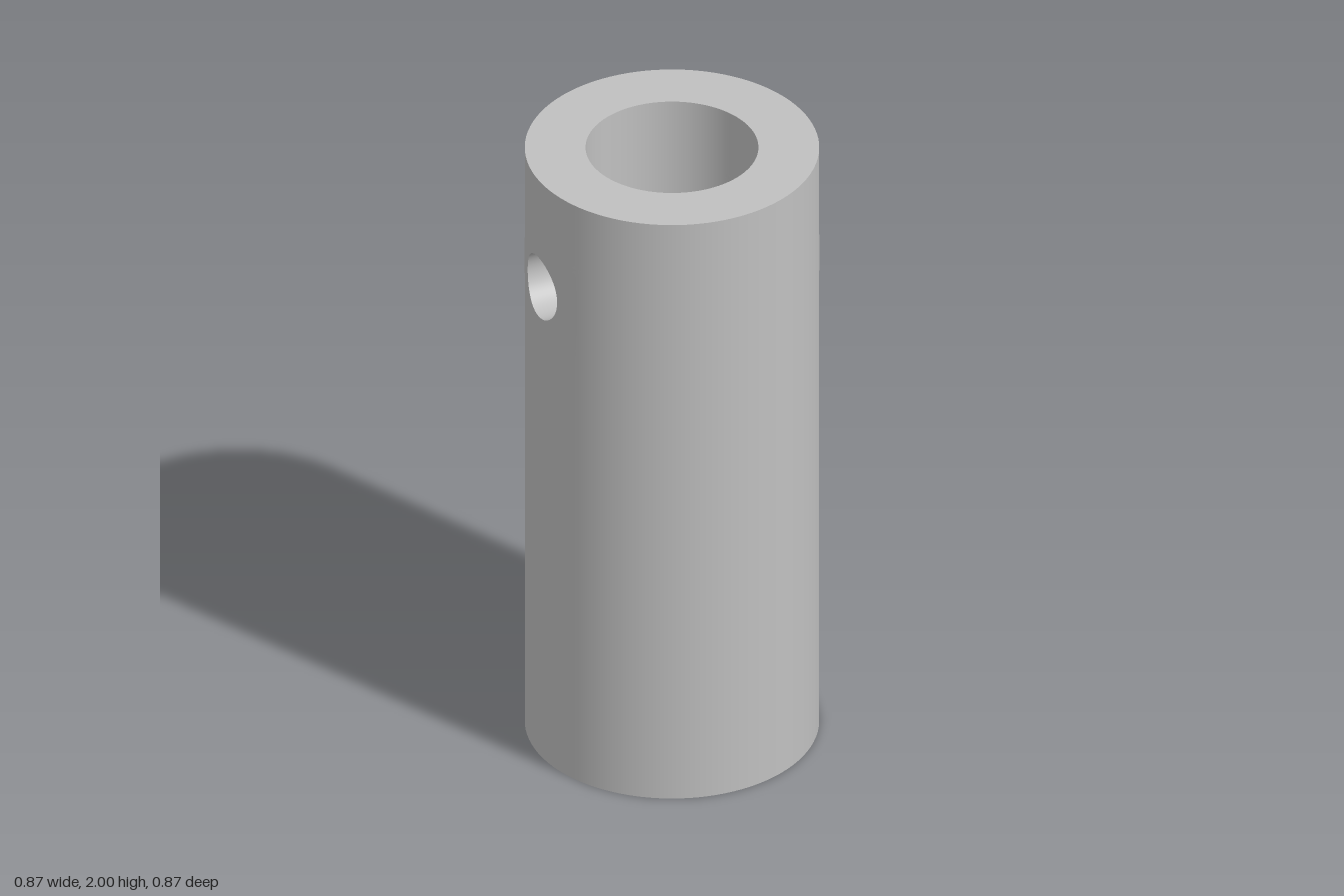
import * as THREE from 'three';
import { mergeGeometries } from 'three/addons/utils/BufferGeometryUtils.js';

const OUTER = 0.436, BORE = 0.256, PILOT = 0.174; // radii
const HEIGHT = 2, STEP = 1.0;                     // STEP: floor of the wide bore
const PIN_R = 0.1026, PIN_Y = 1.628;              // cross hole
const SEG = 96, SPAN = 8;                         // SPAN: segments either side of the hole
const A = SPAN * 2 * Math.PI / SEG, H = 0.16;     // half size of the patch around the hole

// Grid surface from point and normal rules; triangles are turned to face the normal
function surface(point, normal, nu, nv) {
  const pos = [], nor = [], index = [], pts = [], nrm = [];
  for (let j = 0; j <= nv; j++) for (let i = 0; i <= nu; i++) {
    const p = point(i / nu, j / nv), n = normal(p);
    pts.push(p); nrm.push(n);
    pos.push(p.x, p.y, p.z); nor.push(n.x, n.y, n.z);
  }
  const face = new THREE.Vector3();
  const add = (a, b, c) => {
    new THREE.Triangle(pts[a], pts[b], pts[c]).getNormal(face);
    if (face.dot(nrm[a]) > 0) index.push(a, b, c); else index.push(a, c, b);
  };
  for (let j = 0; j < nv; j++) for (let i = 0; i < nu; i++) {
    const a = j * (nu + 1) + i, b = a + 1, c = a + nu + 1, d = c + 1;
    add(a, b, d); add(a, d, c);
  }
  const g = new THREE.BufferGeometry();
  g.setAttribute('position', new THREE.Float32BufferAttribute(pos, 3));
  g.setAttribute('normal', new THREE.Float32BufferAttribute(nor, 3));
  g.setIndex(index);
  return g;
}

const polar = (r, a, y) => new THREE.Vector3(r * Math.cos(a), y, r * Math.sin(a));
const radial = (sign) => (p) => new THREE.Vector3(p.x, 0, p.z).normalize().multiplyScalar(sign);

// Part of a cylinder wall; sign is 1 facing outward, -1 facing inward
function wall(r, y0, y1, sign, a0 = 0, a1 = 2 * Math.PI) {
  const n = Math.round((a1 - a0) / (2 * Math.PI) * SEG);
  return surface((u, v) => polar(r, a0 + (a1 - a0) * u, y0 + (y1 - y0) * v), radial(sign), n, 1);
}

// Walk around a square of half size 1, u from 0 to 1
function square(u) {
  const s = (u % 1) * 4, k = Math.floor(s), t = (s - k) * 2 - 1;
  return [[1, t], [-t, 1], [-1, -t], [t, -1]][k];
}

// Point on the rim of the cross hole where it meets a wall of radius r
function rim(r, u, base) {
  const [sx, sy] = square(u), t = Math.atan2(sy, sx);
  return [base + Math.asin(PIN_R * Math.cos(t) / r), PIN_Y + PIN_R * Math.sin(t)];
}

// Wall pierced on both sides by the cross hole
function piercedWall(r, y0, y1, sign) {
  const parts = [wall(r, y0, PIN_Y - H, sign), wall(r, PIN_Y + H, y1, sign)];
  for (const base of [0, Math.PI]) {
    parts.push(wall(r, PIN_Y - H, PIN_Y + H, sign, base + A, base + Math.PI - A));
    parts.push(surface((u, v) => {
      const [sx, sy] = square(u), [a, y] = rim(r, u, base);
      return polar(r, a + (base + sx * A - a) * v, y + (PIN_Y + sy * H - y) * v);
    }, radial(sign), SPAN * 8, 6));
  }
  return mergeGeometries(parts);
}

// Flat ring at height y, facing up or down
function ring(r0, r1, y, sign) {
  return surface((u, v) => polar(r0 + (r1 - r0) * v, 2 * Math.PI * u, y),
    () => new THREE.Vector3(0, sign, 0), SEG, 1);
}

// Inside of the cross hole through one side of the tube
function pinTunnel(base) {
  return surface((u, v) => {
    const [a0, y] = rim(BORE, u, base), [a1] = rim(OUTER, u, base);
    return polar(BORE, a0, y).lerp(polar(OUTER, a1, y), v);
  }, (p) => new THREE.Vector3(0, PIN_Y - p.y, -p.z).normalize(), SPAN * 8, 1);
}

export function createModel() {
  const group = new THREE.Group();
  group.name = 'crossDrilledSleeve';
  const steel = new THREE.MeshStandardMaterial({ color: 0xc0c0c0 });
  steel.name = 'grey steel';
  const add = (name, geometry) => {
    const mesh = new THREE.Mesh(geometry, steel);
    mesh.name = name;
    group.add(mesh);
  };

  add('outerWall', piercedWall(OUTER, 0, HEIGHT, 1));
  add('wideBore', piercedWall(BORE, STEP, HEIGHT, -1));
  add('narrowBore', wall(PILOT, 0, STEP, -1));
  add('topRim', ring(BORE, OUTER, HEIGHT, 1));
  add('boreStep', ring(PILOT, BORE, STEP, 1));
  add('bottomFace', ring(PILOT, OUTER, 0, -1));
  add('leftPinHole', pinTunnel(0));
  add('rightPinHole', pinTunnel(Math.PI));
  return group;
}
